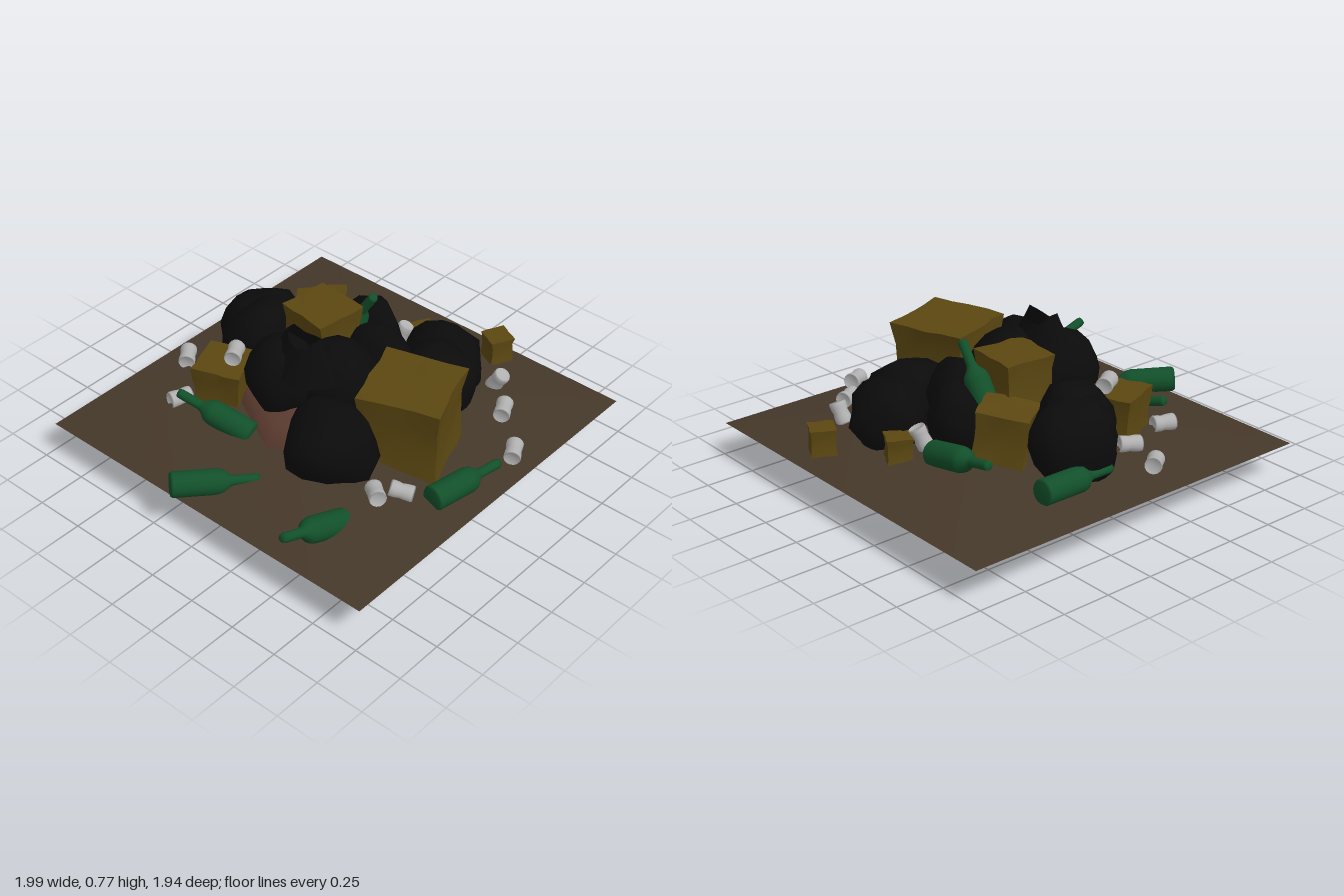
import * as THREE from 'three';
import { mergeVertices } from 'three/addons/utils/BufferGeometryUtils.js';

const mat = (color, side = THREE.FrontSide) => new THREE.MeshStandardMaterial({ color, side });
const soilMat = mat(0x45382a, THREE.DoubleSide);
const moundMat = mat(0x5c3c30, THREE.DoubleSide);
const bagMat = mat(0x0b0b0b, THREE.DoubleSide);
const boxMat = mat(0x5b4711);
const bottleMat = mat(0x12502a);
const canMat = mat(0xb0b0b0, THREE.DoubleSide);
const UP = new THREE.Vector3(0, 1, 0);

// Repeatable noise in -1..1, equal for vertices that share a position
const noise = (v, seed) => {
  const q = (n) => Math.round(n * 1000) / 1000;
  const s = Math.sin(q(v.x) * 127.1 + q(v.y) * 311.7 + q(v.z) * 74.7 + seed * 19.19) * 43758.5453;
  return (s - Math.floor(s)) * 2 - 1;
};

// Move every vertex of a geometry by a rule
function deform(geo, rule) {
  const p = geo.attributes.position;
  const v = new THREE.Vector3();
  for (let i = 0; i < p.count; i++) {
    v.fromBufferAttribute(p, i);
    rule(v);
    p.setXYZ(i, v.x, v.y, v.z);
  }
  geo.computeVertexNormals();
  return geo;
}

function lathe(points, segments) {
  return new THREE.LatheGeometry(points.map(([r, y]) => new THREE.Vector2(r, y)), segments);
}

// Lumpy, softly shaded rubbish bag
function bagGeometry(seed) {
  let geo = new THREE.IcosahedronGeometry(1, 2);
  geo.deleteAttribute('normal');
  geo.deleteAttribute('uv');
  geo = mergeVertices(geo, 1e-3);
  return deform(geo, (v) => {
    const fold = 0.06 * Math.sin(5 * v.x + seed) + 0.05 * Math.sin(4 * v.z - 3 * v.y + seed * 2);
    v.multiplyScalar(1 + fold + 0.065 * noise(v, seed));
  });
}

// Gathered, ragged end of a bag, opening upwards
function tieGeometry(mouth, base, height, seed) {
  return deform(new THREE.CylinderGeometry(mouth, base, height, 9, 1, true), (v) => {
    if (v.y > 0) v.y += 0.03 * Math.cos(2 * Math.atan2(v.z, v.x) + seed) + 0.01 * noise(v, seed);
  });
}

// Dented carton with a pinched middle
function cartonGeometry(seed) {
  return deform(new THREE.BoxGeometry(1, 1, 1, 4, 4, 4), (v) => {
    const pinch = 0.9 + 0.4 * v.y * v.y;
    const a = noise(v, seed), b = noise(v, seed + 5), c = noise(v, seed + 9);
    v.x = v.x * pinch + a * 0.025;
    v.z = v.z * pinch + b * 0.025;
    v.y += c * 0.015;
  });
}

const bottleGeometry = lathe([[0, 0], [0.055, 0], [0.063, 0.012], [0.063, 0.22],
  [0.055, 0.25], [0.03, 0.28], [0.024, 0.3], [0.024, 0.405], [0.02, 0.42], [0, 0.42]], 16);

const canGeometry = lathe([[0, -0.045], [0.033, -0.045], [0.037, -0.058], [0.042, -0.05],
  [0.041, -0.02], [0.037, 0.005], [0.041, 0.025], [0.042, 0.05], [0.037, 0.058],
  [0.033, 0.045], [0, 0.045]], 14);

export function createModel() {
  const model = new THREE.Group();
  const add = (name, geo, material, x, y, z, parent = model) => {
    const mesh = new THREE.Mesh(geo, material);
    mesh.name = name;
    mesh.position.set(x, y, z);
    parent.add(mesh);
    return mesh;
  };
  const group = (name) => {
    const g = new THREE.Group();
    g.name = name;
    model.add(g);
    return g;
  };

  // Square patch of soil, rising to the middle
  const soil = new THREE.ConeGeometry(0.972 * Math.SQRT2, 0.19, 4, 1, true);
  soil.rotateY(Math.PI / 4);
  add('ground', soil, soilMat, 0.027, 0.272, 0);

  // Mound: dome above, shallow cone below
  add('mound', lathe([[0, 0], [0.51, 0.165], [0.49, 0.27], [0.42, 0.36], [0.22, 0.44], [0, 0.46]], 8),
    moundMat, 0.01, 0, 0);

  // Rubbish bags: centre, then radii
  const bags = group('bags');
  [
    [-0.34, 0.36, 0.28, 0.22, 0.23, 0.235],
    [-0.21, 0.47, -0.14, 0.19, 0.22, 0.18],
    [-0.06, 0.46, 0.07, 0.2, 0.22, 0.2],
    [0.11, 0.36, -0.59, 0.21, 0.23, 0.19],
    [0.03, 0.38, -0.49, 0.185, 0.23, 0.185],
    [0.35, 0.33, 0.33, 0.21, 0.22, 0.2],
    [0.54, 0.32, 0.235, 0.2, 0.2, 0.21],
    [0.43, 0.4, -0.13, 0.12, 0.19, 0.16],
    [0.25, 0.41, 0.07, 0.14, 0.19, 0.19],
  ].forEach(([x, y, z, rx, ry, rz], i) => {
    add('bag', bagGeometry(i + 1), bagMat, x, y, z, bags).scale.set(rx, ry, rz);
  });

  // Gathered ends: a ridge on the top bag, a flare hanging below the outer bag
  add('bagTie', tieGeometry(0.09, 0.2, 0.18, 3.3), bagMat, -0.19, 0.65, -0.02, bags).scale.x = 0.75;
  add('bagTie', tieGeometry(0.12, 0.05, 0.14, 0.5), bagMat, 0.61, 0.21, 0.2, bags).rotation.z = -2.75;

  // Cartons: centre, width, height, depth, turn and tilt in degrees
  const cartons = group('cartons');
  [
    [-0.01, 0.4, 0.48, 0.41, 0.45, 0.41, 19, 0],
    [0.12, 0.55, -0.18, 0.27, 0.27, 0.28, -6, 0],
    [0.33, 0.4, -0.36, 0.26, 0.25, 0.24, -52, 8],
    [-0.3, 0.33, -0.44, 0.25, 0.27, 0.25, 20, 0],
    [0.66, 0.285, 0.01, 0.125, 0.13, 0.125, -27, 0],
    [0.865, 0.28, 0.33, 0.125, 0.13, 0.125, -27, 0],
  ].forEach(([x, y, z, w, h, d, turn, tilt], i) => {
    const box = add('carton', cartonGeometry(i + 1), boxMat, x, y, z, cartons);
    box.scale.set(w, h, d);
    box.rotation.set(0, THREE.MathUtils.degToRad(turn), THREE.MathUtils.degToRad(tilt));
  });

  // Bottles: base point, then a point towards the mouth
  const bottles = group('bottles');
  [
    [-0.23, 0.24, 0.79, 0.18, 0.235, 0.86],
    [0.57, 0.285, -0.13, 0.57, 0.37, -0.54],
    [-0.955, 0.25, -0.17, -0.63, 0.225, 0.085],
    [-0.57, 0.2, 0.555, -0.97, 0.355, 0.54],
    [-0.44, 0.25, -0.13, -0.535, 0.36, -0.51],
    [0.445, 0.275, -0.75, 0.03, 0.27, -0.75],
    [0.285, 0.38, -0.23, 0.285, 0.73, 0],
  ].forEach(([x, y, z, tx, ty, tz]) => {
    const dir = new THREE.Vector3(tx - x, ty - y, tz - z).normalize();
    add('bottle', bottleGeometry, bottleMat, x, y, z, bottles).quaternion.setFromUnitVectors(UP, dir);
  });

  // Crushed cans: centre, then axis direction
  const cans = group('cans');
  [
    [0.285, 0.25, 0.87, 20, 2, -11],
    [0.48, 0.275, 0.66, 20, 1, -10],
    [0.63, 0.285, 0.51, 1, 14, 8],
    [-0.4, 0.28, 0.6, 14, -3, -18],
    [-0.285, 0.25, 0.66, -9, 4, -16],
    [-0.195, 0.25, -0.81, 18, 2, -14],
    [-0.215, 0.27, -0.62, 20, 2, 8],
    [-0.485, 0.28, -0.57, 20, 0, 7],
    [-0.26, 0.5, -0.41, 20, 0, -12],
    [0.57, 0.335, -0.05, 5, 16, 6],
  ].forEach(([x, y, z, dx, dy, dz]) => {
    const dir = new THREE.Vector3(dx, dy, dz).normalize();
    add('can', canGeometry, canMat, x, y, z, cans).quaternion.setFromUnitVectors(UP, dir);
  });

  return model;
}
